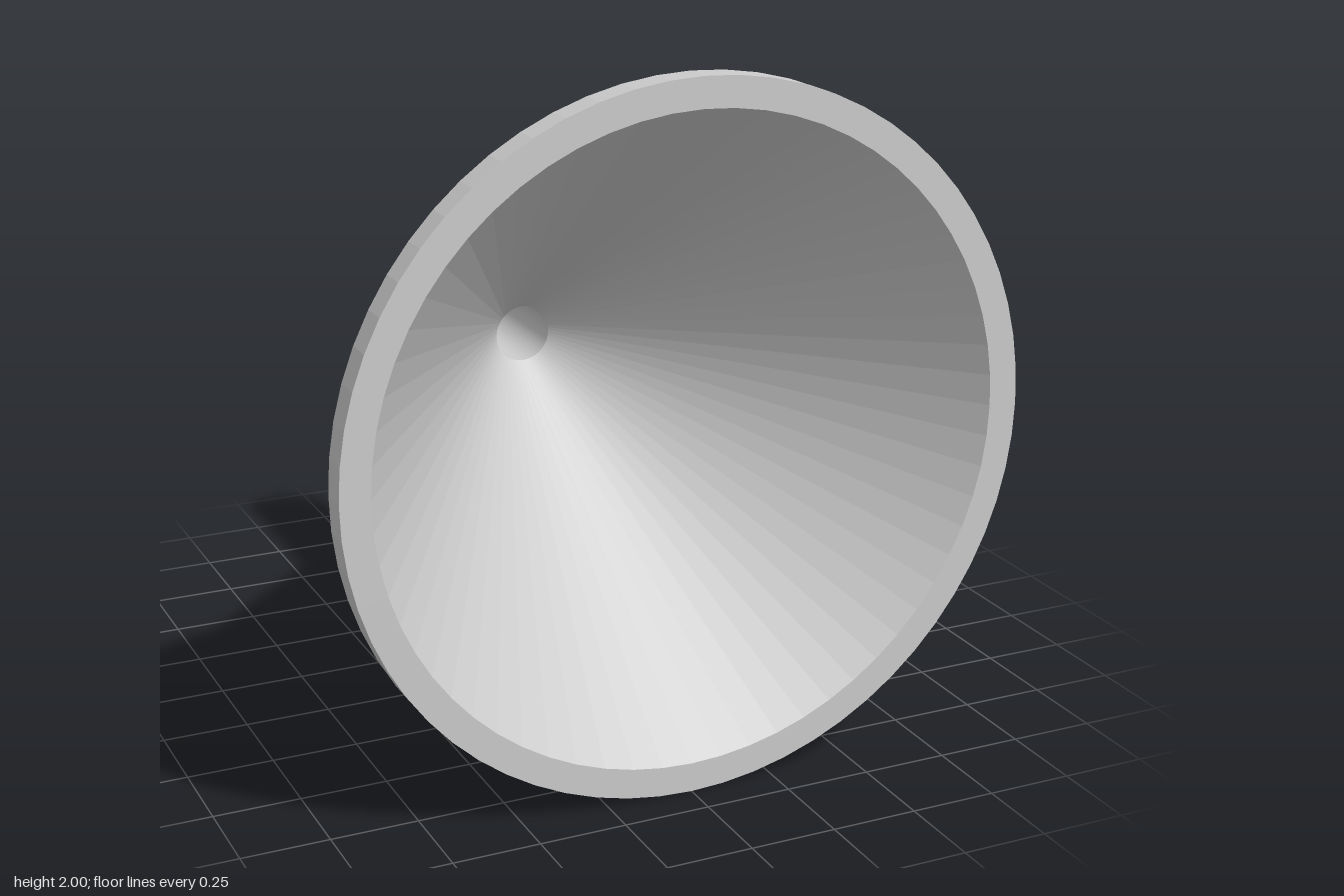
import * as THREE from 'three';

const SIDES = 64;
const material = new THREE.MeshStandardMaterial({ color: 0xcccccc, flatShading: true });

// Revolves a [radius, z] profile around the z axis; outer walls run towards +z
function revolve(name, profile) {
  const points = profile.map(([r, z]) => new THREE.Vector2(r, z));
  const geometry = new THREE.LatheGeometry(points, SIDES).rotateX(Math.PI / 2).toNonIndexed();
  geometry.computeVertexNormals();
  const mesh = new THREE.Mesh(geometry, material);
  mesh.name = name;
  return mesh;
}

export function createModel() {
  const front = 0.9, rimBack = 0.82, neck = -0.27, back = -0.9;
  const rimRadius = 1, mouthRadius = 0.915, coneRadius = 0.895;
  const spoutRadius = 0.125, boreRadius = 0.086;

  const funnel = new THREE.Group();
  funnel.name = 'funnel';
  funnel.add(
    // Flat band around the mouth
    revolve('rim', [[coneRadius, rimBack], [rimRadius, rimBack], [rimRadius, front], [mouthRadius, front]]),
    // Tapered body, outside and inside
    revolve('coneOuterWall', [[spoutRadius, neck], [coneRadius, rimBack]]),
    revolve('coneInnerWall', [[mouthRadius, front], [boreRadius, neck]]),
    // Hollow straight tube with its annular end
    revolve('spout', [[boreRadius, neck], [boreRadius, back], [spoutRadius, back], [spoutRadius, neck]]),
  );
  // Stand the rim on the ground
  funnel.position.y = rimRadius;

  const model = new THREE.Group();
  model.add(funnel);
  return model;
}
